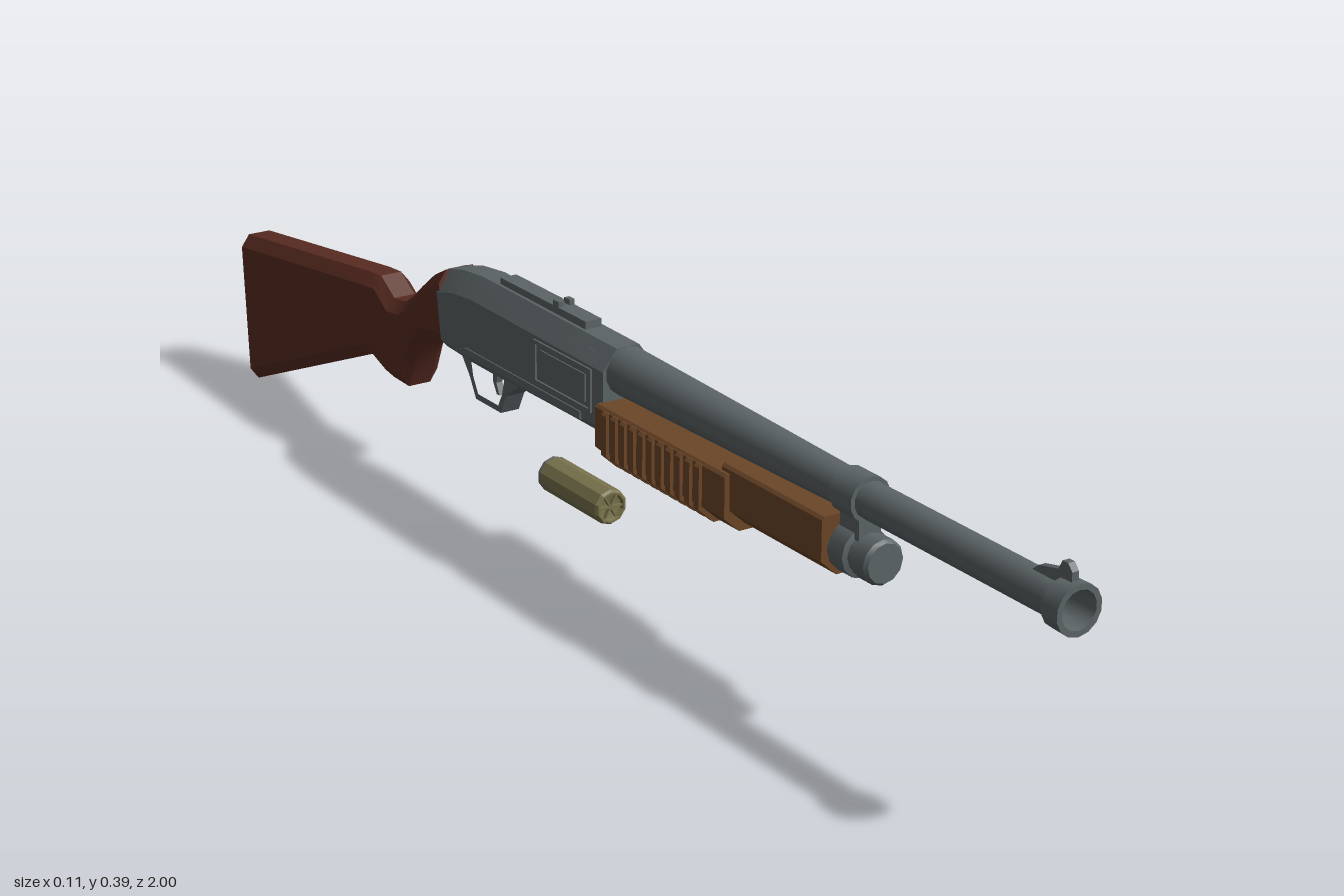
import * as THREE from 'three';
import { toCreasedNormals } from 'three/addons/utils/BufferGeometryUtils.js';

const paint = (name, hex) => {
  const m = new THREE.MeshStandardMaterial({ color: hex });
  m.name = name;
  return m;
};

export function createModel() {
  const model = new THREE.Group();
  model.name = 'shotgun';
  const metal = paint('gunmetal', 0x5c6466);
  const darkWood = paint('dark red wood', 0x5a2c22);
  const lightWood = paint('brown wood', 0x6b4627);
  const olive = paint('olive shell', 0x78734c);
  const base = paint('shell base grey', 0x68686c);

  const add = (name, geo, mat, x = 0, y = 0, z = 0, crease = 0.6) => {
    const mesh = new THREE.Mesh(toCreasedNormals(geo, crease), mat);
    mesh.name = name;
    mesh.position.set(x, y, z);
    model.add(mesh);
    return mesh;
  };
  const box = (name, mat, w, h, d, x, y, z) => add(name, new THREE.BoxGeometry(w, h, d), mat, x, y, z);

  // Lathe turned to lie along z; profile rows are [radius, z]
  const turned = (profile, sides) =>
    new THREE.LatheGeometry(profile.map(([r, z]) => new THREE.Vector2(r, z)), sides).rotateX(Math.PI / 2);

  // Side outline in (z, y), extruded across x and centred
  const sideCut = (pts, width, hole) => {
    const shape = new THREE.Shape(pts.map(([z, y]) => new THREE.Vector2(z, y)));
    if (hole) shape.holes.push(new THREE.Path(hole.map(([z, y]) => new THREE.Vector2(z, y))));
    return new THREE.ExtrudeGeometry(shape, { depth: width, bevelEnabled: false })
      .translate(0, 0, -width / 2).rotateY(-Math.PI / 2);
  };

  // Eight-sided chamfered section: top and bottom may sit at different z
  const section = (zT, yT, zB, yB, w, topX, topY, botX, botY) => {
    const half = [[w - botX, yB], [w, yB + botY], [w, yT - topY], [w - topX, yT]];
    const ring = [...half, ...half.map(([x, y]) => [-x, y]).reverse()];
    return ring.map(([x, y]) => [x, y, zB + (zT - zB) * (y - yB) / (yT - yB)]);
  };

  // Skin over sections ordered from rear to front, with both ends closed
  const loft = (rings) => {
    const n = rings[0].length, index = [];
    for (let i = 0; i < rings.length - 1; i++)
      for (let j = 0; j < n; j++) {
        const a = i * n + j, b = i * n + (j + 1) % n;
        index.push(a, b, b + n, a, b + n, a + n);
      }
    const last = (rings.length - 1) * n;
    for (let j = 1; j < n - 1; j++) {
      index.push(0, j + 1, j);
      index.push(last, last + j, last + j + 1);
    }
    const geo = new THREE.BufferGeometry();
    geo.setAttribute('position', new THREE.Float32BufferAttribute(rings.flat(2), 3));
    geo.setIndex(index);
    return geo;
  };

  // Stock: wrist, pistol grip and butt
  const stockRows = [
    [-0.385, 0.353, -0.37, 0.24, 0.036], [-0.42, 0.335, -0.41, 0.238, 0.034],
    [-0.46, 0.305, -0.45, 0.228, 0.032], [-0.49, 0.28, -0.485, 0.185, 0.031],
    [-0.512, 0.266, -0.505, 0.136, 0.031], [-0.545, 0.262, -0.55, 0.137, 0.031],
    [-0.583, 0.286, -0.575, 0.141, 0.031], [-0.62, 0.283, -0.61, 0.155, 0.032],
    [-1, 0.235, -0.983, 0, 0.032],
  ];
  add('stock', loft(stockRows.map((r) => section(...r, 0.014, 0.018, 0.013, 0.018)).reverse()), darkWood, 0, 0, 0, 0.45);

  // Receiver with rounded rear shoulder
  const receiverRows = [
    [0.055, 0.366, 0.055, 0.243, 0.04], [-0.29, 0.369, -0.29, 0.24, 0.04],
    [-0.345, 0.363, -0.335, 0.24, 0.039], [-0.392, 0.351, -0.376, 0.24, 0.037],
  ];
  add('receiver', loft(receiverRows.map((r) => section(...r, 0.022, 0.03, 0.01, 0.012)).reverse()), metal, 0, 0, 0, 0.3);
  for (const s of [-1, 1])
    add('receiverSidePlate', sideCut([[0, 0.252], [-0.33, 0.252], [-0.3, 0.263], [0, 0.263]], 0.004), metal, s * 0.04);
  box('loadingGate', metal, 0.04, 0.008, 0.13, 0, 0.239, -0.05);
  box('triggerPlate', metal, 0.036, 0.012, 0.17, 0, 0.238, -0.275);

  // Ejection port frame and bolt on the right side
  for (const y of [0.272, 0.33]) box('portFrame', metal, 0.006, 0.005, 0.14, -0.04, y, -0.045);
  for (const z of [-0.115, 0.025]) box('portFrame', metal, 0.006, 0.063, 0.005, -0.04, 0.301, z);
  box('bolt', metal, 0.004, 0.04, 0.115, -0.04, 0.301, -0.045);

  // Barrel with flared muzzle and hollow bore
  add('barrel', turned([
    [0.036, 0], [0.035, 0.06], [0.029, 0.4], [0.025, 0.6], [0.025, 0.965], [0.033, 0.97],
    [0.034, 1], [0.026, 1], [0.022, 0.965], [0.022, 0.75], [0, 0.75],
  ], 14), metal, 0, 0.331, 0);

  // Magazine tube, end cap and barrel clamp
  add('magazineTube', turned([[0, 0.04], [0.03, 0.04], [0.034, 0.555], [0.035, 0.56], [0.035, 0.59],
    [0.028, 0.592], [0.028, 0.6], [0.031, 0.602], [0.031, 0.628], [0.027, 0.633], [0, 0.633]], 12), metal, 0, 0.257, 0);
  add('barrelClamp', turned([[0.024, 0.555], [0.031, 0.555], [0.031, 0.6], [0.024, 0.6]], 14), metal, 0, 0.331, 0);
  box('clampWeb', metal, 0.034, 0.04, 0.04, 0, 0.295, 0.58);

  // Sliding fore-end with ribbed grip
  const slab = (z0, z1, top, bottom, w) => loft([z0, z1].map((z) =>
    section(z, top, z, bottom, w, 0.004, 0.004, 0.024, 0.022)));
  add('foreEndFront', slab(0.34, 0.558, 0.302, 0.22, 0.043), lightWood, 0, 0, 0, 0.3);
  add('foreEndGrip', slab(0.052, 0.358, 0.293, 0.21, 0.051), lightWood, 0, 0, 0, 0.3);
  for (let i = 0; i < 11; i++) {
    const z = 0.075 + i * 0.022;
    add('gripRib', slab(z, z + 0.012, 0.29, 0.206, 0.056), lightWood, 0, 0, 0, 0.3);
  }

  // Trigger guard and trigger
  add('triggerGuard', sideCut(
    [[-0.19, 0.238], [-0.235, 0.205], [-0.25, 0.175], [-0.318, 0.175], [-0.335, 0.205], [-0.362, 0.238]], 0.03,
    [[-0.24, 0.228], [-0.246, 0.205], [-0.257, 0.184], [-0.312, 0.184], [-0.325, 0.207], [-0.33, 0.228]]), metal, 0, 0, 0, 0.3);
  add('trigger', sideCut([[-0.272, 0.235], [-0.278, 0.21], [-0.27, 0.193], [-0.277, 0.193], [-0.287, 0.21], [-0.287, 0.235]], 0.01), metal);

  // Front sight ramp and blade, rear sight rail and ears
  add('frontSight', sideCut([[0.915, 0.352], [0.99, 0.352], [0.99, 0.376], [0.982, 0.385], [0.972, 0.385], [0.965, 0.372], [0.93, 0.364]], 0.01), metal);
  box('sightRail', metal, 0.026, 0.014, 0.22, 0, 0.371, -0.14);
  for (const s of [-1, 1]) box('rearSightEar', metal, 0.008, 0.01, 0.014, s * 0.009, 0.381, -0.105);

  // Loose shell: body with lip, folded crimp and metal base
  add('shellBody', turned([[0.026, -0.13], [0.026, 0.012], [0.023, 0.016], [0.02, 0.016], [0.018, 0.01], [0, 0.006]], 10),
    olive, 0, 0.118, 0, 0.3);
  for (let i = 0; i < 6; i++) {
    const fold = box('crimpFold', olive, 0.018, 0.003, 0.006, 0, 0.118, 0.011);
    fold.geometry.translate(0.01, 0, 0);
    fold.rotation.z = i * Math.PI / 3;
  }
  add('shellBase', turned([[0, -0.132], [0.006, -0.132], [0.006, -0.135], [0.026, -0.135], [0.026, -0.13]], 10), base, 0, 0.118, 0, 0.3);

  return model;
}
